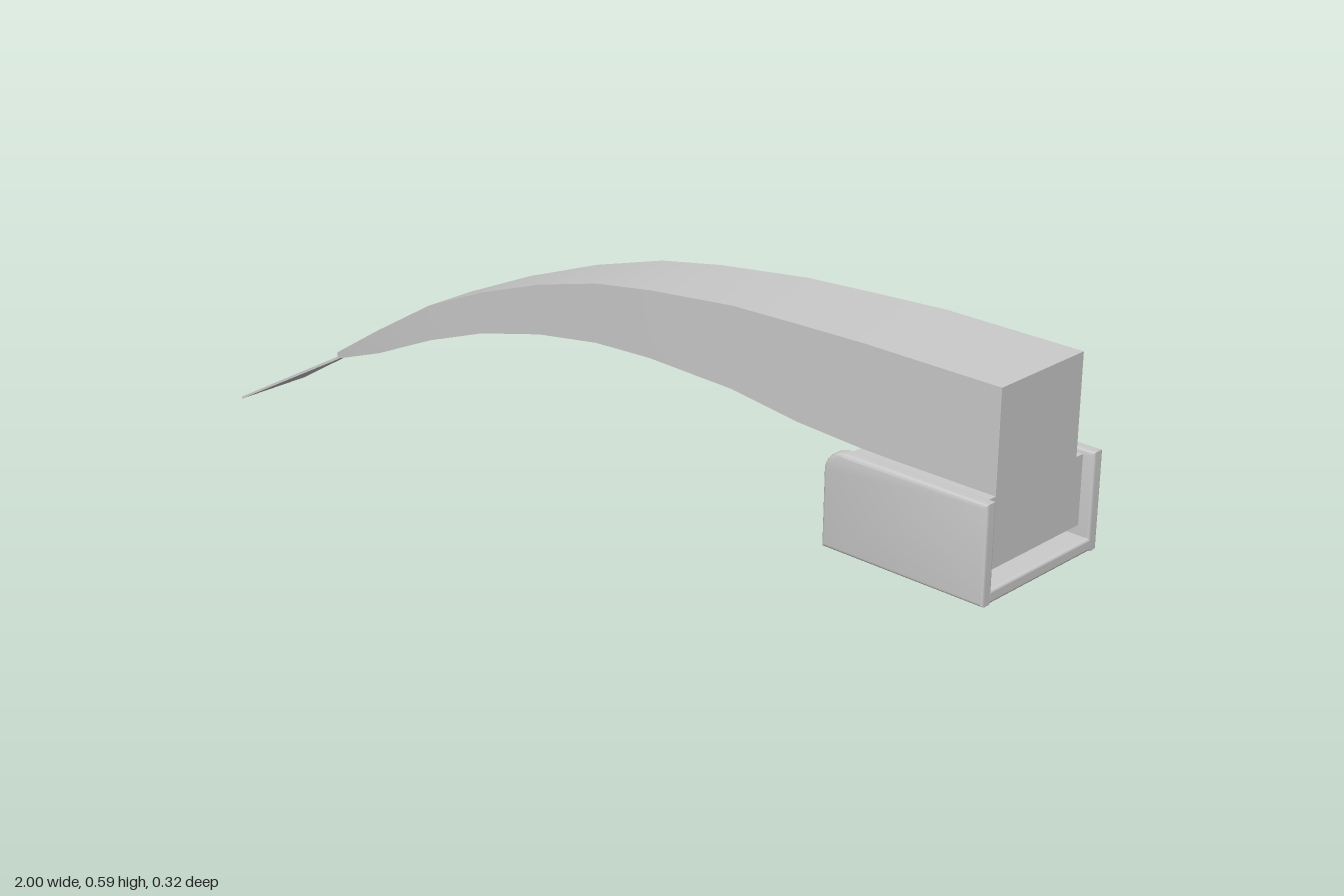
import * as THREE from 'three';
import { toCreasedNormals } from 'three/addons/utils/BufferGeometryUtils.js';
import { RoundedBoxGeometry } from 'three/addons/geometries/RoundedBoxGeometry.js';

const material = new THREE.MeshStandardMaterial({ color: 0xcccccc });

function add(group, name, geometry, x = 0, y = 0, z = 0) {
  const mesh = new THREE.Mesh(geometry, material);
  mesh.name = name;
  mesh.position.set(x, y, z);
  group.add(mesh);
  return mesh;
}

// Joins rectangular sections [x, top, bottom, halfWidth] into a closed solid
function loft(sections) {
  const points = [], index = [];
  for (const [x, top, bottom, w] of sections) {
    points.push(x, top, w, x, top, -w, x, bottom, -w, x, bottom, w);
  }
  for (let i = 0; i < sections.length - 1; i++) {
    for (let k = 0; k < 4; k++) {
      const a = i * 4 + k, b = i * 4 + (k + 1) % 4;
      index.push(a, a + 4, b, b, a + 4, b + 4);
    }
  }
  const e = (sections.length - 1) * 4;
  index.push(0, 1, 2, 0, 2, 3, e, e + 3, e + 2, e, e + 2, e + 1);
  const geometry = new THREE.BufferGeometry();
  geometry.setAttribute('position', new THREE.Float32BufferAttribute(points, 3));
  geometry.setIndex(index);
  return toCreasedNormals(geometry, 0.4);
}

// Bracket cheek: rectangle with one rounded upper corner and softened edges
function cheekGeometry() {
  const b = 0.007, x0 = 0.662 + b, x1 = 1 - b, y0 = 0.225 + b, y1 = 0.407 - b, r = 0.035;
  const s = new THREE.Shape();
  s.moveTo(x0, y0);
  s.lineTo(x1, y0);
  s.lineTo(x1, y1);
  s.lineTo(x0 + r, y1);
  s.absarc(x0 + r, y1 - r, r, Math.PI / 2, Math.PI, false);
  s.closePath();
  const g = new THREE.ExtrudeGeometry(s, {
    depth: 0.026 - 2 * b, bevelEnabled: true, bevelSize: b, bevelThickness: b,
    bevelSegments: 3, curveSegments: 8,
  });
  g.translate(0, 0, b - 0.013);
  return toCreasedNormals(g, 0.6);
}

export function createModel() {
  const model = new THREE.Group();

  // Arched, tapering arm
  add(model, 'arm', loft([
    [-0.768, 0.148, 0.134, 0.012],
    [-0.6, 0.25, 0.2, 0.042],
    [-0.43, 0.35, 0.277, 0.056],
    [-0.27, 0.42, 0.337, 0.066],
    [-0.1, 0.482, 0.383, 0.077],
    [0.06, 0.527, 0.412, 0.088],
    [0.2, 0.551, 0.422, 0.094],
    [0.4, 0.575, 0.421, 0.1],
    [0.56, 0.583, 0.406, 0.106],
    [0.7, 0.589, 0.402, 0.111],
    [0.98, 0.589, 0.398, 0.111],
  ]));

  // Thin flared tip
  add(model, 'tip', loft([
    [-1, 0.005, 0, 0.088],
    [-0.765, 0.14, 0.134, 0.012],
  ]));

  // Block under the thick end
  add(model, 'block', new THREE.BoxGeometry(0.28, 0.13, 0.26), 0.84, 0.336, 0);

  // U-shaped bracket around the block
  const bracket = new THREE.Group();
  bracket.name = 'bracket';
  model.add(bracket);
  add(bracket, 'bracketFloor', new RoundedBoxGeometry(0.338, 0.025, 0.29, 3, 0.006), 0.831, 0.2375, 0);
  const cheek = cheekGeometry();
  for (const side of [-1, 1]) {
    add(bracket, side > 0 ? 'frontCheek' : 'backCheek', cheek, 0, 0, side * 0.147);
    // Pivot pin between block and cheek
    const pin = add(bracket, 'pivotPin', new THREE.CylinderGeometry(0.008, 0.008, 0.02, 16), 0.95, 0.37, side * 0.132);
    pin.rotation.x = Math.PI / 2;
  }
  return model;
}
